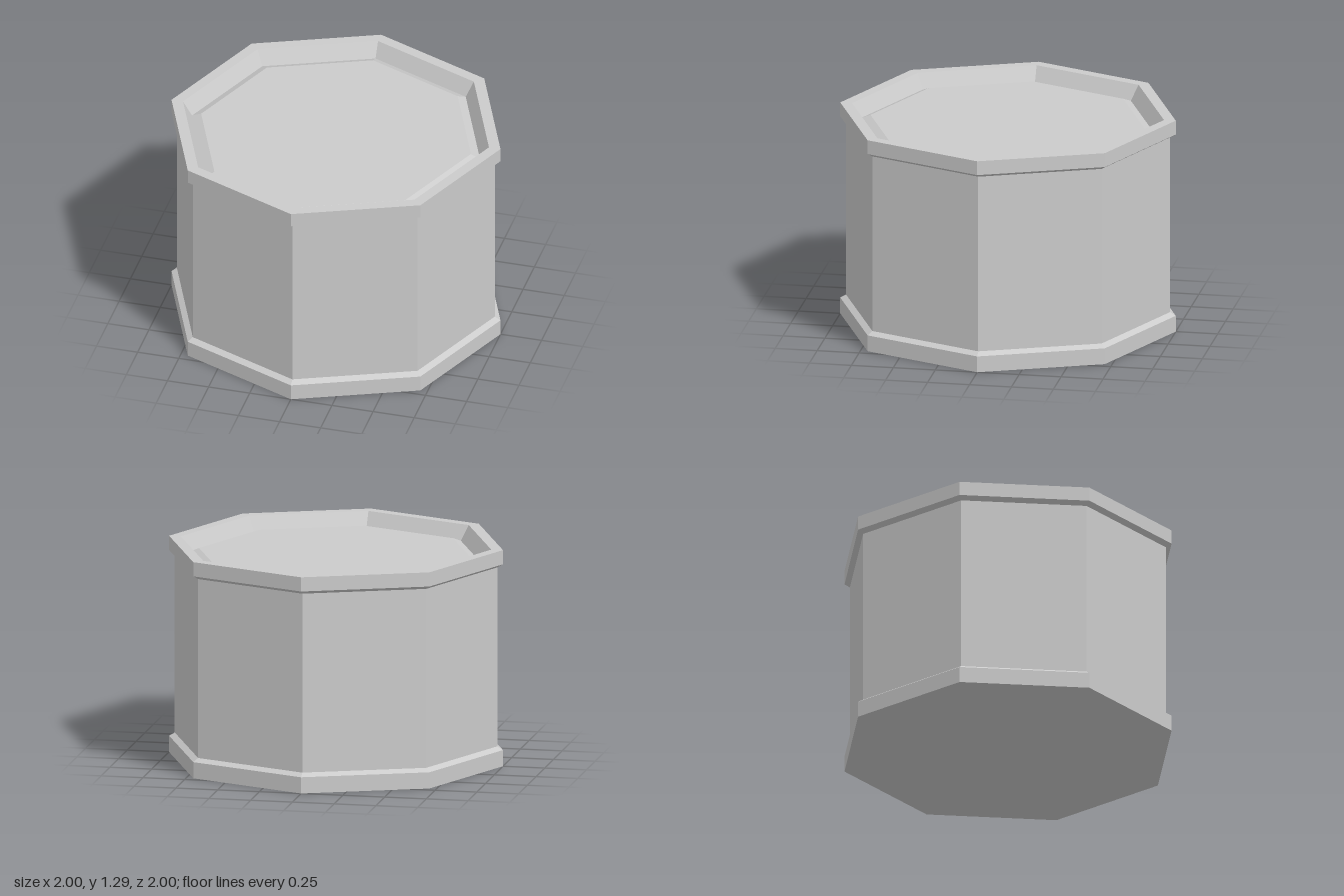
import * as THREE from 'three';

const SIDES = 8;

export function createModel() {
  const group = new THREE.Group();
  const material = new THREE.MeshStandardMaterial({ color: 0xcccccc, flatShading: true });

  // Turns a [radius, height] profile into a faceted eight-sided ring
  const addRing = (name, profile) => {
    const points = profile.map(([r, y]) => new THREE.Vector2(r, y));
    const mesh = new THREE.Mesh(new THREE.LatheGeometry(points, SIDES), material);
    mesh.name = name;
    group.add(mesh);
  };

  // Base hoop with closed underside and chamfered top
  addRing('bottomHoop', [[0, 0], [1, 0], [1, 0.097], [0.966, 0.118]]);

  // Straight drum wall
  addRing('shell', [[0.966, 0.118], [0.966, 1.19]]);

  // Upper hoop: chamfer, outer band, flat lip and sloping inner wall
  addRing('topHoop', [[0.966, 1.19], [1, 1.21], [1, 1.295], [0.93, 1.295], [0.875, 1.207]]);

  // Recessed drum head, rising slightly from its rim
  addRing('drumHead', [[0.875, 1.207], [0.82, 1.229], [0, 1.229]]);

  return group;
}
